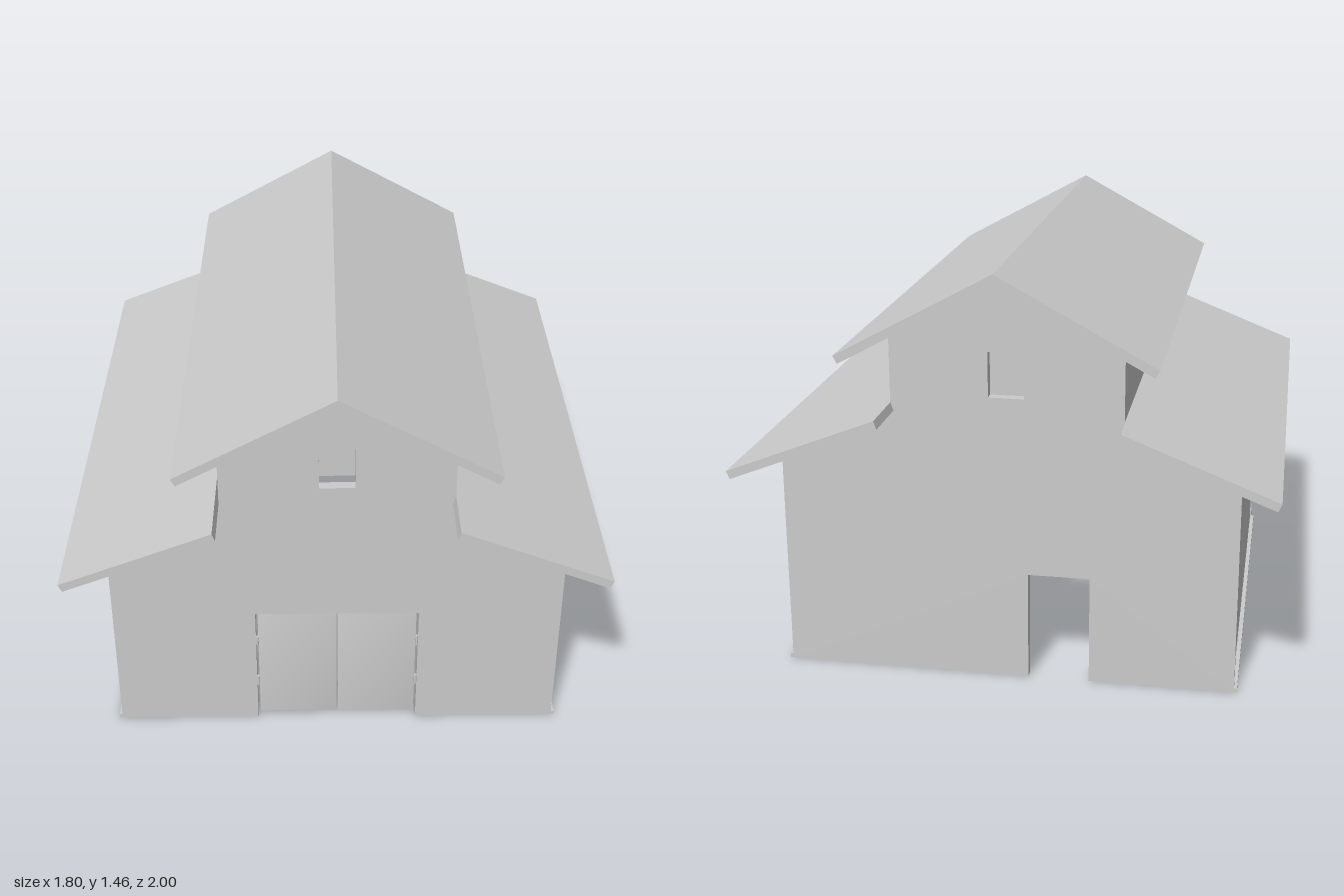
import * as THREE from 'three';
import { mergeVertices } from 'three/addons/utils/BufferGeometryUtils.js';

const grey = new THREE.MeshStandardMaterial({ color: 0xcccccc, side: THREE.DoubleSide });
const T = 0.035; // wall thickness
const DEPTH = 0.795; // half depth of the walls

function add(group, name, geometry, x = 0, y = 0, z = 0) {
  const mesh = new THREE.Mesh(geometry, grey);
  mesh.name = name;
  mesh.position.set(x, y, z);
  group.add(mesh);
  return mesh;
}

const outline = (points) => new THREE.Shape(points.map(([x, y]) => new THREE.Vector2(x, y)));

const extrude = (shape, depth) =>
  new THREE.ExtrudeGeometry(shape, { depth, bevelEnabled: false });

// End wall with stepped gable, a doorway open to the ground and a square window
function gableWall(x0, x1, doorHeight) {
  const shape = outline([
    [-0.775, 0], [x0, 0], [x0, doorHeight], [x1, doorHeight], [x1, 0], [0.775, 0],
    [0.775, 0.785], [0.39, 0.937], [0.39, 1.213], [0, 1.426],
    [-0.39, 1.213], [-0.39, 0.937], [-0.775, 0.785],
  ]);
  const hole = outline([[-0.06, 1.0], [-0.06, 1.155], [0.06, 1.155], [0.06, 1.0]]);
  shape.holes.push(hole);
  return extrude(shape, T);
}

// Door leaf with softened corner normals
function leafGeometry(w, h, d) {
  const box = new THREE.BoxGeometry(w, h, d);
  box.deleteAttribute('normal');
  box.deleteAttribute('uv');
  const leaf = mergeVertices(box);
  leaf.computeVertexNormals();
  return leaf;
}

export function createModel() {
  const barn = new THREE.Group();
  barn.name = 'barn';

  // Walls
  const walls = new THREE.Group();
  walls.name = 'walls';
  walls.position.x = 0.005;
  barn.add(walls);
  add(walls, 'frontWall', gableWall(-0.283, 0.283, 0.475), 0, 0, DEPTH - T);
  add(walls, 'backWall', gableWall(-0.28, -0.07, 0.38), 0, 0, -DEPTH);
  const inner = 2 * (DEPTH - T);
  for (const s of [-1, 1]) {
    const side = s < 0 ? 'right' : 'left';
    const lower = outline([
      [s * 0.77, 0], [s * 0.77, 0.787], [s * (0.77 - T), 0.8], [s * (0.77 - T), 0],
    ]);
    add(walls, side + 'SideWall', extrude(lower, inner), 0, 0, -inner / 2);
    const upper = outline([
      [s * 0.387, 0.93], [s * 0.387, 1.213], [s * (0.387 - T), 1.232], [s * (0.387 - T), 0.93],
    ]);
    add(walls, side + 'UpperWall', extrude(upper, inner), 0, 0, -inner / 2);

    // Thin skirting strip along the ground
    add(walls, side + 'Skirting', new THREE.BoxGeometry(0.02, 0.016, 2 * DEPTH), s * 0.775, 0.008, 0);

    // Sloping roof over the side aisle
    const aisle = outline([
      [s * 0.395, 0.967], [s * 0.9, 0.768], [s * 0.888, 0.741], [s * 0.385, 0.939],
    ]);
    add(barn, side + 'LowerRoof', extrude(aisle, 2), 0, 0, -1);

    // Front door leaf and its two hinges
    add(walls, side + 'Door', leafGeometry(0.274, 0.45, 0.02), s * 0.1385, 0.245, DEPTH - 0.02);
    for (const y of [0.17, 0.35]) {
      const hinge = new THREE.CylinderGeometry(0.005, 0.005, 0.04, 8);
      add(walls, side + 'Hinge', hinge, s * 0.279, y, DEPTH - 0.006);
    }
  }

  // Main ridged roof
  const ridge = outline([
    [0, 1.457], [0.517, 1.177], [0.503, 1.151], [0, 1.424],
    [-0.503, 1.151], [-0.517, 1.177],
  ]);
  add(barn, 'upperRoof', extrude(ridge, 2), 0.003, 0, -1);

  return barn;
}
